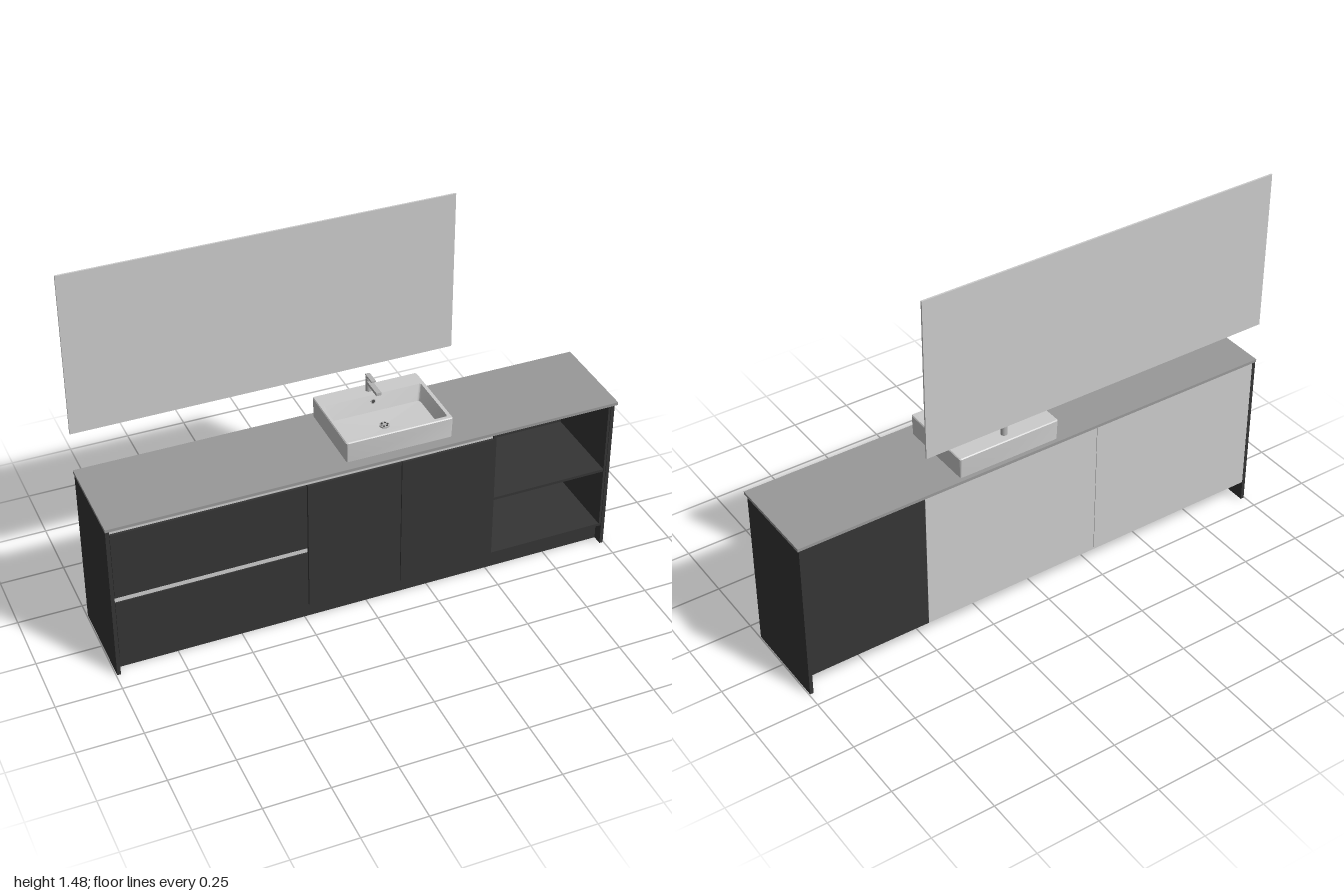
import * as THREE from 'three';
import { toCreasedNormals } from 'three/addons/utils/BufferGeometryUtils.js';

const mat = (name, color, side = THREE.FrontSide) => {
  const m = new THREE.MeshStandardMaterial({ color, side });
  m.name = name;
  return m;
};

export function createModel() {
  const root = new THREE.Group();
  root.name = 'bathroomVanity';
  const dark = mat('darkWood', 0x353535);
  const light = mat('lightGrey', 0xcccccc);
  const stone = mat('stoneGrey', 0x999999);
  const ceramic = mat('ceramic', 0xcccccc, THREE.DoubleSide);
  const metal = mat('metal', 0xb4b4b4);
  const shade = mat('drainHole', 0x404040);

  const add = (name, geo, material, parent = root) => {
    const mesh = new THREE.Mesh(geo, material);
    mesh.name = name;
    parent.add(mesh);
    return mesh;
  };
  // Box given by its limits on each axis
  const box = (name, m, [x0, x1], [y0, y1], [z0, z1], parent = root) => {
    const mesh = add(name, new THREE.BoxGeometry(x1 - x0, y1 - y0, z1 - z0), m, parent);
    mesh.position.set((x0 + x1) / 2, (y0 + y1) / 2, (z0 + z1) / 2);
    return mesh;
  };

  // Worktop and mirror
  box('worktop', stone, [-1, 1], [0.661, 0.673], [-0.19, 0.191]);
  box('mirror', light, [-1, 0.482], [0.833, 1.477], [-0.19, -0.183]);

  // End panels down to the floor and the recessed plinth
  for (const s of [-1, 1]) {
    box('endPanel', dark, s < 0 ? [-0.996, -0.982] : [0.982, 0.996], [0, 0.661], [-0.19, 0.175]);
  }
  box('plinth', dark, [-0.982, 0.982], [0, 0.085], [0.12, 0.135]);

  // Two closed carcasses with pale shells and a dark front frame
  for (const [x0, x1] of [[-0.982, -0.251], [-0.249, 0.492]]) {
    box('carcass', light, [x0, x1], [0.085, 0.661], [-0.189, 0.15]);
    box('frontFrame', dark, [x0, x1], [0.085, 0.661], [0.15, 0.16]);
  }

  // Drawer fronts and doors
  const fz = [0.161, 0.18];
  box('upperDrawer', dark, [-0.982, -0.251], [0.358, 0.636], fz);
  box('lowerDrawer', dark, [-0.982, -0.251], [0.087, 0.336], fz);
  box('leftDoor', dark, [-0.247, 0.119], [0.087, 0.636], fz);
  box('rightDoor', dark, [0.122, 0.49], [0.087, 0.636], fz);

  // Pale grip channels
  box('topGrip', light, [-0.982, 0.49], [0.637, 0.655], [0.16, 0.172]);
  box('middleGrip', light, [-0.982, -0.251], [0.337, 0.357], [0.16, 0.176]);

  // Open shelf unit
  const shelf = new THREE.Group();
  shelf.name = 'openShelf';
  root.add(shelf);
  const sz = [-0.189, 0.172];
  box('shelfSide', dark, [0.493, 0.505], [0.085, 0.661], sz, shelf);
  box('shelfSide', dark, [0.973, 0.982], [0.085, 0.661], sz, shelf);
  box('shelfBack', dark, [0.505, 0.973], [0.085, 0.661], [-0.189, -0.178], shelf);
  for (const [y0, y1] of [[0.085, 0.096], [0.347, 0.358], [0.652, 0.661]]) {
    box('shelfBoard', dark, [0.505, 0.973], [y0, y1], [-0.178, 0.17], shelf);
  }

  // Basin lofted through rounded rectangles
  const CORNER = 5;
  const loop = (x0, x1, z0, z1, r, y) => {
    const pts = [];
    const centres = [[x1 - r, z1 - r], [x0 + r, z1 - r], [x0 + r, z0 + r], [x1 - r, z0 + r]];
    centres.forEach(([cx, cz], q) => {
      for (let i = 0; i < CORNER; i++) {
        const a = (q + i / (CORNER - 1)) * Math.PI / 2;
        pts.push(cx + Math.cos(a) * r, y, cz + Math.sin(a) * r);
      }
    });
    return pts;
  };
  const loops = [
    loop(-0.083, 0.334, -0.173, 0.148, 0.008, 0.673),
    loop(-0.085, 0.336, -0.175, 0.15, 0.008, 0.753),
    loop(-0.082, 0.333, -0.172, 0.147, 0.008, 0.757),
    loop(-0.072, 0.32, -0.1, 0.133, 0.008, 0.757),
    loop(-0.06, 0.308, -0.082, 0.115, 0.012, 0.695),
    loop(0.114, 0.134, 0.002, 0.022, 0.009, 0.69),
  ];
  const n = CORNER * 4;
  const index = [];
  for (let k = 0; k < loops.length - 1; k++) {
    for (let i = 0; i < n; i++) {
      const a = k * n + i, b = k * n + (i + 1) % n;
      index.push(a, a + n, b, b, a + n, b + n);
    }
  }
  const basinGeo = new THREE.BufferGeometry();
  basinGeo.setAttribute('position', new THREE.Float32BufferAttribute(loops.flat(), 3));
  basinGeo.setIndex(index);
  basinGeo.computeVertexNormals();
  add('basin', toCreasedNormals(basinGeo, 0.6), ceramic);

  // Drain and overflow
  const drain = new THREE.Group();
  drain.name = 'drain';
  drain.position.set(0.124, 0.693, 0.012);
  root.add(drain);
  add('drainPlate', new THREE.CylinderGeometry(0.019, 0.019, 0.006, 24), metal, drain);
  for (let i = 0; i < 6; i++) {
    const a = i * Math.PI / 3;
    const hole = add('drainSlot', new THREE.CylinderGeometry(0.004, 0.004, 0.002, 10), shade, drain);
    hole.position.set(Math.cos(a) * 0.012, 0.003, Math.sin(a) * 0.012);
  }
  const overflow = add('overflowRing', new THREE.TorusGeometry(0.008, 0.002, 8, 20), metal);
  overflow.position.set(0.124, 0.733, -0.092);
  overflow.rotation.x = -0.28;
  const hole = add('overflowHole', new THREE.CircleGeometry(0.007, 20), shade);
  hole.position.set(0.124, 0.733, -0.091);
  hole.rotation.x = -0.28;

  // Tap: column, spout and lever
  const tap = new THREE.Group();
  tap.name = 'tap';
  root.add(tap);
  const column = add('tapColumn', new THREE.CylinderGeometry(0.012, 0.012, 0.054, 20), metal, tap);
  column.position.set(0.124, 0.784, -0.135);
  box('tapSpout', metal, [0.114, 0.134], [0.79, 0.802], [-0.135, -0.04], tap);
  const cap = add('tapCap', new THREE.CylinderGeometry(0.011, 0.011, 0.008, 20), metal, tap);
  cap.position.set(0.124, 0.815, -0.135);
  box('tapLever', metal, [0.115, 0.133], [0.818, 0.824], [-0.147, -0.088], tap);

  return root;
}
